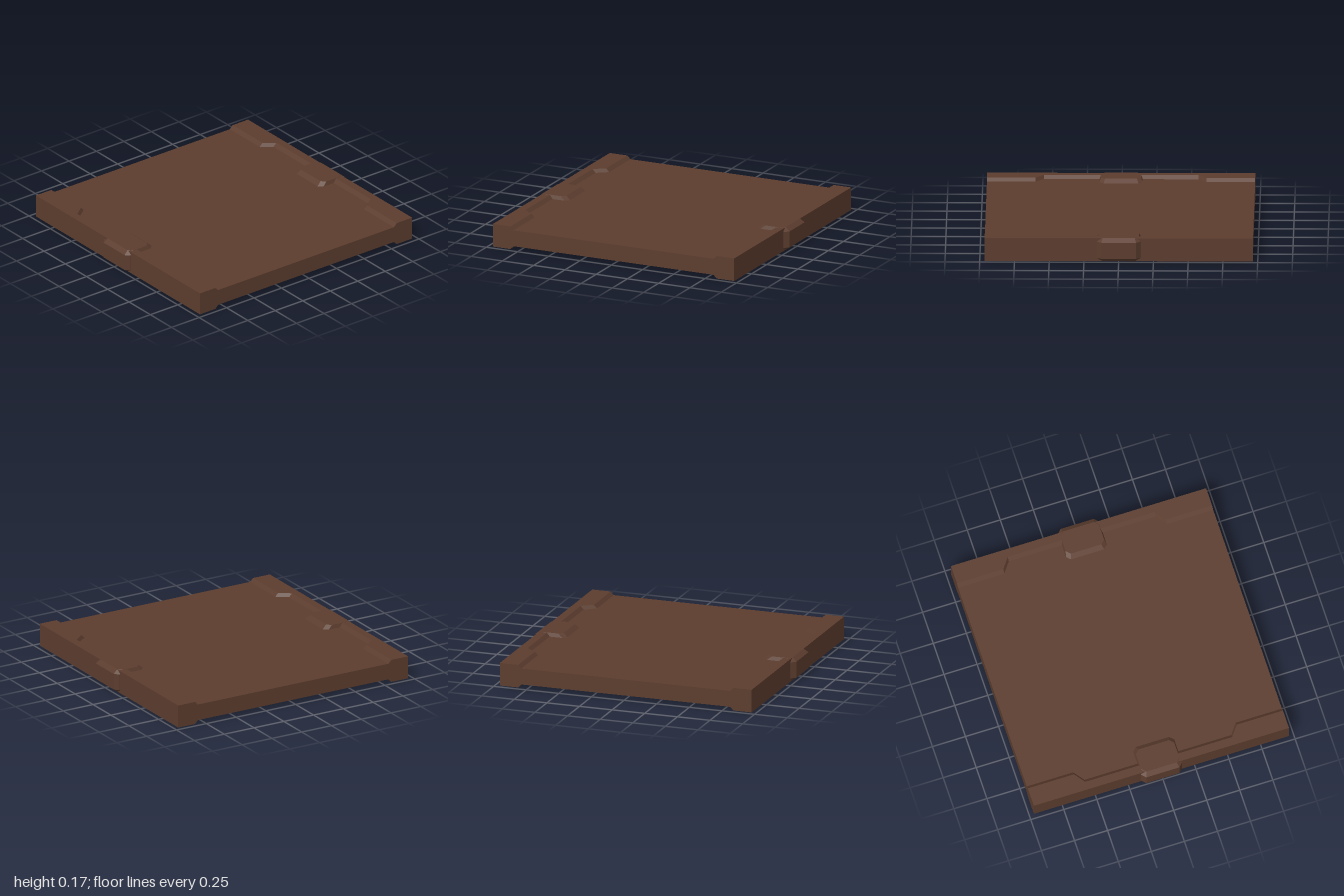
import * as THREE from 'three';

// Closed solid from matching rings, each counter-clockwise about the loft direction
function loft(rings) {
  const n = rings[0].length, last = rings.length - 1;
  const index = [];
  for (let i = 0; i < last; i++) {
    for (let j = 0; j < n; j++) {
      const k = (j + 1) % n;
      const a = i * n + j, b = i * n + k, c = b + n, d = a + n;
      index.push(a, b, c, a, c, d);
    }
  }
  for (let j = 1; j < n - 1; j++) {
    index.push(0, j + 1, j, last * n, last * n + j, last * n + j + 1);
  }
  const g = new THREE.BufferGeometry();
  g.setAttribute('position', new THREE.Float32BufferAttribute(rings.flat(2), 3));
  g.setIndex(index);
  const flat = g.toNonIndexed();
  flat.computeVertexNormals();
  return flat;
}

export function createModel() {
  const brown = new THREE.MeshStandardMaterial({ color: 0x5c3d2e });
  brown.name = 'dark brown';

  const model = new THREE.Group();
  model.name = 'floorPanel';

  const half = 0.965, height = 0.17, bevel = 0.025;
  const low = bevel, high = height - bevel;

  // Main slab, slightly thinner than the rims
  const slab = new THREE.Mesh(new THREE.BoxGeometry(2 * half, high - low, 1.92), brown);
  slab.name = 'slab';
  slab.position.y = height / 2;
  model.add(slab);

  // Rim: wide at the ends, narrow in the middle, bevelled inner edge
  const stations = [[-half, 0.8], [-0.615, 0.8], [-0.555, 0.88], [0.555, 0.88], [0.615, 0.8], [half, 0.8]];
  const rimGeometry = loft(stations.map(([x, inner]) => [
    [x, height, inner + bevel], [x, height, half], [x, 0, half],
    [x, 0, inner + bevel], [x, low, inner], [x, high, inner],
  ]));

  // Clamp: octagonal block bevelled above and below
  const clampRing = (y, inset) => {
    const w = 0.155 - inset * 0.3, c = 0.03;
    const z0 = 0.755 + inset, z1 = 1 - inset;
    return [
      [-w + c, y, z1], [w - c, y, z1], [w, y, z1 - c], [w, y, z0 + c],
      [w - c, y, z0], [-w + c, y, z0], [-w, y, z0 + c], [-w, y, z1 - c],
    ];
  };
  const clampGeometry = loft([
    clampRing(0, 0.033), clampRing(low, 0), clampRing(high, 0), clampRing(height + 0.002, 0.033),
  ]);

  // Same edge at the front and, turned round, at the back
  for (const [name, turn] of [['front', 0], ['back', Math.PI]]) {
    const edge = new THREE.Group();
    edge.name = name + 'Edge';
    const rim = new THREE.Mesh(rimGeometry, brown);
    rim.name = name + 'Rim';
    const clamp = new THREE.Mesh(clampGeometry, brown);
    clamp.name = name + 'Clamp';
    edge.add(rim, clamp);
    edge.rotation.y = turn;
    model.add(edge);
  }
  return model;
}
